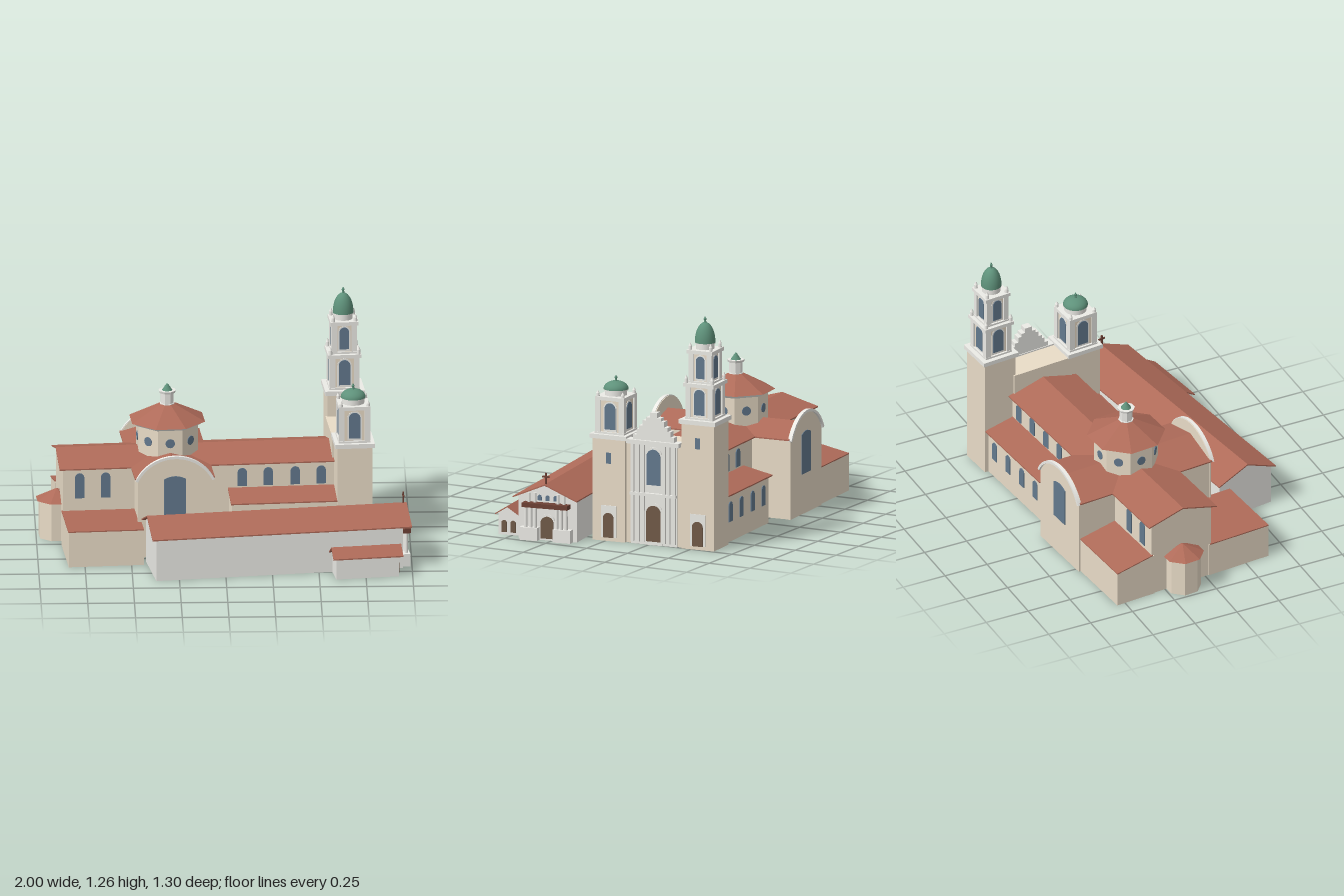
import * as THREE from 'three';

const colors = {
  stone: 0xe9dcc7, white: 0xecebe6, tile: 0xaf6b59, glass: 0x63798e,
  wood: 0x705a48, copper: 0x5f927b, beam: 0x6e4135,
};
const material = (color, flatShading = false) =>
  new THREE.MeshStandardMaterial({ color, flatShading, side: THREE.DoubleSide });
const mats = {};
for (const k in colors) mats[k] = material(colors[k]);
const flatTile = material(colors.tile, true);
const flatStone = material(colors.stone, true);
const flatWhite = material(colors.white, true);

// leaves the underside open by dropping faces that lie on the ground
function openBase(geo) {
  const g = geo.index ? geo.toNonIndexed() : geo;
  const p = g.attributes.position, n = g.attributes.normal, pos = [], nor = [];
  for (let i = 0; i < p.count; i += 3) {
    if (Math.max(p.getY(i), p.getY(i + 1), p.getY(i + 2)) < 1e-4) continue;
    for (let j = i; j < i + 3; j++) {
      pos.push(p.getX(j), p.getY(j), p.getZ(j));
      nor.push(n.getX(j), n.getY(j), n.getZ(j));
    }
  }
  const out = new THREE.BufferGeometry();
  out.setAttribute('position', new THREE.Float32BufferAttribute(pos, 3));
  out.setAttribute('normal', new THREE.Float32BufferAttribute(nor, 3));
  return out;
}
function add(parent, name, geo, mat) {
  const m = new THREE.Mesh(openBase(geo), typeof mat === 'string' ? mats[mat] : mat);
  m.name = name;
  parent.add(m);
}
function group(parent, name, x = 0, z = 0, ry = 0) {
  const g = new THREE.Group();
  g.name = name;
  g.position.set(x, 0, z);
  g.rotation.y = ry;
  parent.add(g);
  return g;
}
// box between two corners
function box(p, name, mat, x0, x1, y0, y1, z0, z1) {
  const g = new THREE.BoxGeometry(x1 - x0, y1 - y0, z1 - z0);
  add(p, name, g.translate((x0 + x1) / 2, (y0 + y1) / 2, (z0 + z1) / 2), mat);
}
// square block of half width h, centred on the axis
const block = (p, name, mat, h, y0, y1) => box(p, name, mat, -h, h, y0, y1, -h, h);
// cylinder or cone standing on y0
function cyl(p, name, mat, rTop, rBot, y0, y1, x = 0, z = 0, n = 16, turn = 0) {
  const g = new THREE.CylinderGeometry(rTop, rBot, y1 - y0, n).rotateY(turn);
  add(p, name, g.translate(x, (y0 + y1) / 2, z), mat);
}
const extrude = (shape, depth, curveSegments = 12) =>
  new THREE.ExtrudeGeometry(shape, { depth, bevelEnabled: false, curveSegments });
// section of [z, y] points swept along x
function prism(p, name, mat, pts, x0, x1) {
  const s = new THREE.Shape(pts.map(([z, y]) => new THREE.Vector2(-z, y)));
  add(p, name, extrude(s, x1 - x0).rotateY(Math.PI / 2).translate(x0, 0, 0), mat);
}
function gableRoof(p, name, x0, x1, half, eave, ridge, c = 0, t = 0.007) {
  prism(p, name, 'tile', [[c - half, eave], [c, ridge], [c + half, eave],
    [c + half, eave - t], [c, ridge - t], [c - half, eave - t]], x0, x1);
}
function gableWalls(p, name, mat, x0, x1, half, eave, ridge, c = 0) {
  prism(p, name, mat, [[c - half, 0], [c + half, 0], [c + half, eave], [c, ridge], [c - half, eave]], x0, x1);
}
// round-headed panel on a wall at distance dist, facing the given angle
function arch(p, name, mat, w, y0, y1, dist, angle, off = 0, depth = 0.006) {
  const r = w / 2, s = new THREE.Shape();
  s.moveTo(-r, 0).lineTo(r, 0).lineTo(r, y1 - y0 - r);
  s.absarc(0, y1 - y0 - r, r, 0, Math.PI, false);
  add(p, name, extrude(s, depth, 10).translate(off, y0, dist - 0.001).rotateY(angle), mat);
}
const FRONT = Math.PI / 2;
const QUARTERS = [0, 1, 2, 3].map(i => i * Math.PI / 2);

function pinnacles(p, d, y, h) {
  for (const sx of [-1, 1]) for (const sz of [-1, 1]) {
    cyl(p, 'pinnacleBase', 'white', 0.009, 0.011, y, y + h * 0.55, sx * d, sz * d, 8);
    cyl(p, 'pinnacleTip', 'white', 0, 0.01, y + h * 0.55, y + h, sx * d, sz * d, 8);
  }
}
// open belfry stage with corner piers and a window on each face
function belfry(p, h, y0, y1, winW, overhang) {
  block(p, 'belfryCore', 'stone', h - 0.009, y0, y1);
  for (const sx of [-1, 1]) for (const sz of [-1, 1]) {
    const x = sx * (h - 0.015), z = sz * (h - 0.015);
    box(p, 'cornerPier', 'white', x - 0.015, x + 0.015, y0, y1 - 0.01, z - 0.015, z + 0.015);
  }
  for (const a of QUARTERS) {
    arch(p, 'windowFrame', 'white', winW + 0.016, y0 + 0.012, y1 - 0.018, h - 0.009, a, 0, 0.003);
    arch(p, 'belfryWindow', 'glass', winW, y0 + 0.024, y1 - 0.026, h - 0.009, a);
  }
  block(p, 'belfryFoot', 'white', h + 0.002, y0, y0 + 0.01);
  block(p, 'belfryCornice', 'white', h + overhang, y1 - 0.012, y1 + 0.008);
}
function cupola(p, r, y0, yDome, yTop, yFinial) {
  cyl(p, 'cupolaDrum', 'white', r * 0.94, r * 0.94, y0, yDome, 0, 0, 24);
  cyl(p, 'drumRim', 'white', r * 1.04, r * 1.04, yDome - 0.006, yDome, 0, 0, 24);
  const pts = [];
  for (let i = 0; i <= 10; i++) {
    const t = i / 10 * Math.PI / 2;
    pts.push(new THREE.Vector2(r * 1.05 * Math.cos(t), yDome + (yTop - yDome) * Math.sin(t)));
  }
  add(p, 'cupolaDome', new THREE.LatheGeometry(pts, 24), 'copper');
  cyl(p, 'finialStem', 'copper', 0.003, 0.008, yTop - 0.004, yFinial, 0, 0, 8);
  add(p, 'finialBall', new THREE.SphereGeometry(0.008, 10, 8).translate(0, yFinial - 0.013, 0), 'copper');
}
function tower(p, name, z, top, slot) {
  const t = group(p, name, 0.974, z);
  block(t, 'shaft', 'stone', 0.095, 0, top);
  block(t, 'shaftCornice', 'white', 0.107, top, top + 0.024);
  box(t, 'doorPanel', 'white', 0.09, 0.098, 0.02, 0.195, -0.045, 0.045);
  arch(t, 'towerDoor', 'wood', 0.062, 0.02, 0.155, 0.098, FRONT);
  box(t, 'slotWindow', 'glass', 0.09, 0.098, slot, slot + 0.06, -0.014, 0.014);
  return t;
}

function buildFacade(c) {
  const f = group(c, 'facade');
  box(f, 'facadeBlock', 'stone', 0.87, 1.05, 0, 0.565, -0.18, 0.18);
  box(f, 'facadeScreen', 'white', 1.04, 1.06, 0, 0.56, -0.135, 0.135);
  for (const s of [-1, 1]) for (const z of [0.062, 0.09, 0.122]) {
    box(f, 'pilaster', 'white', 1.06, 1.074, 0.015, 0.55, s * z - 0.009, s * z + 0.009);
  }
  box(f, 'beltCourse', 'white', 1.05, 1.078, 0.27, 0.285, -0.135, 0.135);
  box(f, 'mainCornice', 'white', 1.02, 1.08, 0.55, 0.573, -0.155, 0.155);
  // stepped gable
  const steps = [[0.12, 0.60], [0.1, 0.63], [0.084, 0.652], [0.063, 0.682], [0.043, 0.7], [0.021, 0.727]];
  let y = 0.57;
  for (const [w, h] of steps) {
    box(f, 'gableStep', 'white', 1.024, 1.066, y, h, -w, w);
    y = h;
  }
  arch(f, 'windowSurround', 'white', 0.1, 0.318, 0.538, 1.06, FRONT, 0, 0.006);
  arch(f, 'greatWindow', 'glass', 0.08, 0.33, 0.525, 1.066, FRONT, 0, 0.004);
  arch(f, 'doorSurround', 'white', 0.105, 0, 0.23, 1.06, FRONT, 0, 0.006);
  arch(f, 'mainDoor', 'wood', 0.085, 0.02, 0.217, 1.066, FRONT, 0, 0.004);
}

function buildChurch(root) {
  const c = group(root, 'church', -0.297, -0.195, 0.079);
  gableWalls(c, 'naveWalls', 'stone', -0.58, 0.88, 0.185, 0.44, 0.49);
  gableRoof(c, 'naveRoof', -0.6, 0.88, 0.21, 0.442, 0.5);
  for (const s of [-1, 1]) {
    const a = s > 0 ? 0 : Math.PI;
    for (const u of [0.385, 0.525, 0.67, 0.81]) {
      arch(c, 'clerestoryWindow', 'glass', 0.05, 0.31, 0.41, 0.185, a, s * u);
      arch(c, 'aisleWindow', 'glass', 0.045, 0.11, 0.22, 0.335, a, s * u);
    }
    for (const u of [-0.49, -0.35]) arch(c, 'choirWindow', 'glass', 0.05, 0.27, 0.41, 0.185, a, s * u);
    // side aisle with lean-to roof
    prism(c, 'aisleWalls', 'stone', [[s * 0.17, 0], [s * 0.335, 0], [s * 0.335, 0.262], [s * 0.17, 0.296]], 0.315, 0.88);
    prism(c, 'aisleRoof', 'tile', [[s * 0.18, 0.294], [s * 0.355, 0.258], [s * 0.355, 0.265], [s * 0.18, 0.302]], 0.308, 0.88);
    // rear wing
    const w = s > 0 ? 0.54 : 0.4, e = s > 0 ? 0.2 : 0.205, k = s > 0 ? 0.2 : 0.25;
    prism(c, 'rearWing', 'stone', [[s * 0.17, 0], [s * w, 0], [s * w, e - 0.006], [s * 0.17, k - 0.006]], -0.585, -0.18);
    prism(c, 'rearWingRoof', 'tile', [[s * 0.18, k - 0.006], [s * w, e - 0.006], [s * w, e], [s * 0.18, k]], -0.587, -0.18);
  }
  // transept with segmental end gables
  const t = group(c, 'transept', 0, 0, Math.PI / 2);
  gableWalls(t, 'transeptWalls', 'stone', -0.4, 0.4, 0.195, 0.44, 0.49);
  gableRoof(t, 'transeptRoof', -0.41, 0.41, 0.215, 0.442, 0.5);
  const R = 0.236, cy = 0.33, a0 = 0.45;
  for (const turn of [0, Math.PI]) {
    const e = group(c, 'transeptEnd', 0, 0, turn);
    const wall = new THREE.Shape().moveTo(-0.2, 0).lineTo(0.2, 0).lineTo(0.2, 0.43);
    wall.absarc(0, cy, R - 0.004, a0, Math.PI - a0, false);
    wall.lineTo(-0.2, 0.43);
    add(e, 'endWall', extrude(wall, 0.012, 20).translate(0, 0, 0.4), 'stone');
    const band = new THREE.Shape().absarc(0, cy, R, a0, Math.PI - a0, false);
    band.absarc(0, cy, R - 0.014, Math.PI - a0, a0, true);
    add(e, 'archMoulding', extrude(band, 0.02, 20).translate(0, 0, 0.404), 'white');
    const win = new THREE.Shape().moveTo(-0.058, 0.22).lineTo(0.058, 0.22).lineTo(0.058, 0.436);
    win.quadraticCurveTo(0, 0.468, -0.058, 0.436);
    add(e, 'transeptWindow', extrude(win, 0.006).translate(0, 0, 0.41), 'glass');
  }
  // octagonal crossing dome
  const d = group(c, 'crossingDome'), oct = Math.PI / 8, k = 1 / Math.cos(oct);
  cyl(d, 'domeDrum', flatStone, 0.16 * k, 0.16 * k, 0.4, 0.635, 0, 0, 8, oct);
  cyl(d, 'drumCornice', flatWhite, 0.185 * k, 0.172 * k, 0.628, 0.645, 0, 0, 8, oct);
  cyl(d, 'domeRoof', flatTile, 0.035 * k, 0.196 * k, 0.643, 0.73, 0, 0, 8, oct);
  for (let i = 0; i < 8; i++) {
    const disc = new THREE.CylinderGeometry(0.025, 0.025, 0.008, 20);
    add(d, 'roundWindow', disc.rotateX(FRONT).translate(0, 0.552, 0.16).rotateY(i * oct * 2), 'glass');
  }
  cyl(d, 'lantern', flatWhite, 0.036, 0.036, 0.72, 0.795, 0, 0, 8, oct);
  cyl(d, 'lanternFoot', flatWhite, 0.042, 0.042, 0.722, 0.732, 0, 0, 8, oct);
  cyl(d, 'lanternCornice', flatWhite, 0.048, 0.044, 0.79, 0.803, 0, 0, 8, oct);
  cyl(d, 'lanternCap', 'copper', 0.004, 0.028, 0.803, 0.838, 0, 0, 16);
  // apse
  cyl(c, 'apse', flatStone, 0.1, 0.1, 0, 0.215, -0.595, 0, 8, oct);
  cyl(c, 'apseRoof', flatTile, 0, 0.116, 0.212, 0.27, -0.595, 0, 8, oct);

  buildFacade(c);
  const tall = tower(c, 'tallTower', -0.262, 0.686, 0.553);
  belfry(tall, 0.08, 0.71, 0.9, 0.062, 0.01);
  pinnacles(tall, 0.076, 0.905, 0.048);
  belfry(tall, 0.068, 0.908, 1.08, 0.05, 0.008);
  pinnacles(tall, 0.06, 1.085, 0.045);
  cupola(tall, 0.053, 1.085, 1.122, 1.232, 1.262);
  const low = tower(c, 'lowTower', 0.262, 0.56, 0.425);
  belfry(low, 0.084, 0.584, 0.778, 0.062, 0);
  pinnacles(low, 0.073, 0.783, 0.036);
  cupola(low, 0.064, 0.783, 0.818, 0.862, 0.892);
}

function buildChapel(root) {
  const m = group(root, 'chapel', 0.275, 0.371, 0.1414);
  gableWalls(m, 'chapelWalls', 'white', -0.68, 0.66, 0.167, 0.238, 0.305);
  gableRoof(m, 'chapelRoof', -0.703, 0.706, 0.184, 0.237, 0.315);
  for (const s of [-1, 1]) {
    box(m, 'porchBase', 'white', 0.65, 0.704, 0, 0.07, s * 0.095 - 0.05, s * 0.095 + 0.05);
    for (const z of [0.062, 0.087, 0.115]) cyl(m, 'porchColumn', 'white', 0.009, 0.01, 0.07, 0.185, 0.686, s * z, 12);
    for (const z of [0.066, 0.1]) cyl(m, 'upperColumn', 'white', 0.008, 0.008, 0.2, 0.258, 0.676, s * z, 10);
  }
  box(m, 'porchCanopy', 'beam', 0.65, 0.71, 0.182, 0.206, -0.13, 0.13);
  arch(m, 'doorSurround', 'white', 0.09, 0, 0.142, 0.66, FRONT, 0, 0.008);
  arch(m, 'chapelDoor', 'wood', 0.073, 0.01, 0.13, 0.668, FRONT);
  for (const z of [-0.045, 0, 0.045]) arch(m, 'gableWindow', 'glass', 0.022, 0.216, 0.246, 0.66, FRONT, z);
  box(m, 'crossPost', 'beam', 0.684, 0.692, 0.3, 0.375, -0.004, 0.004);
  box(m, 'crossArm', 'beam', 0.684, 0.692, 0.35, 0.358, -0.02, 0.02);
  // low annex beside the chapel
  gableWalls(m, 'annexWalls', 'white', 0.275, 0.615, 0.06, 0.115, 0.154, 0.24);
  box(m, 'annexLink', 'white', 0.28, 0.61, 0, 0.11, 0.15, 0.2);
  gableRoof(m, 'annexRoof', 0.258, 0.637, 0.072, 0.118, 0.163, 0.24);
  for (const z of [-0.266, -0.214]) arch(m, 'annexDoor', 'wood', 0.03, 0.015, 0.08, 0.615, FRONT, z);
}

export function createModel() {
  const root = new THREE.Group();
  root.name = 'missionChurch';
  buildChurch(root);
  buildChapel(root);
  return root;
}
